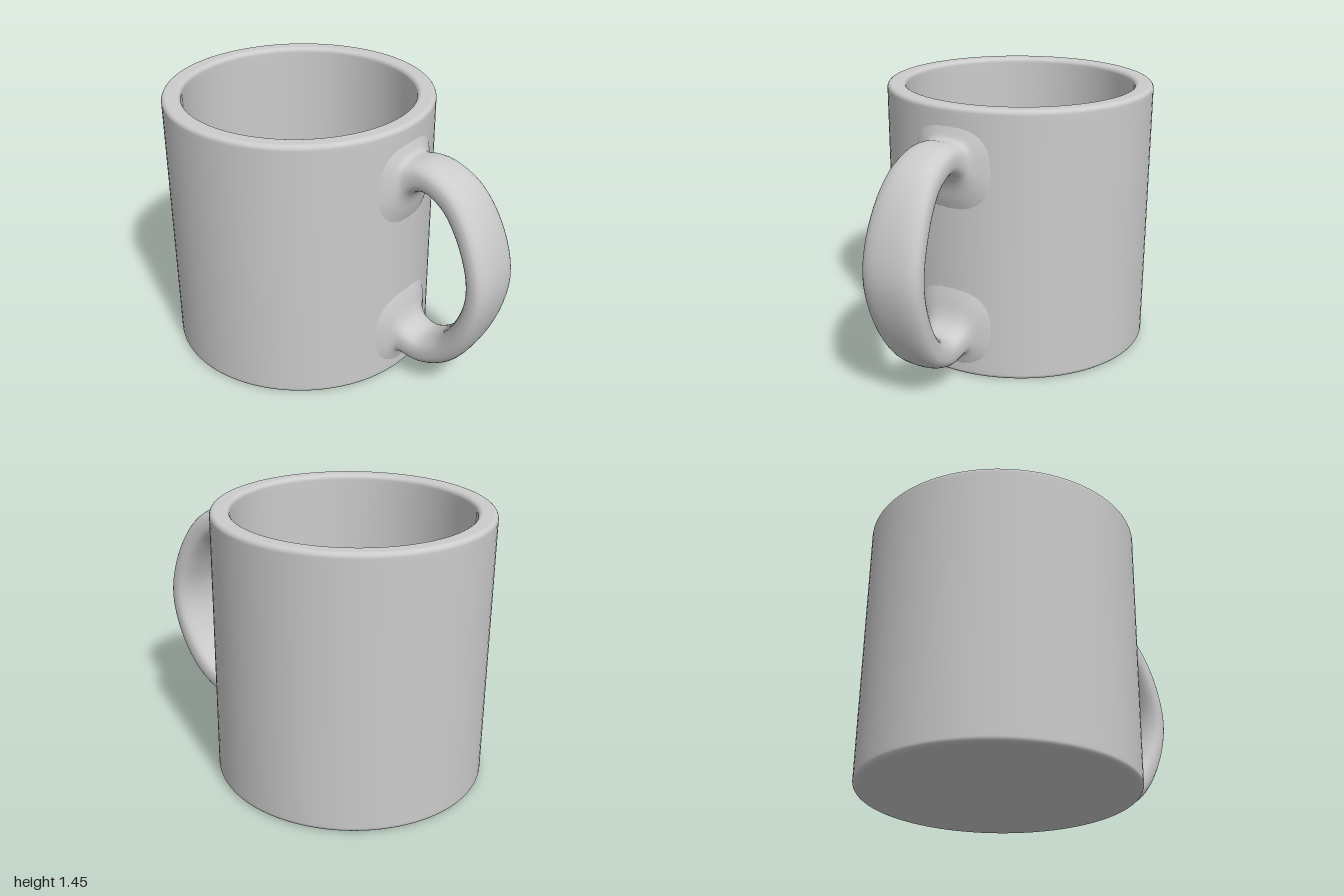
import * as THREE from 'three';

const CX = -0.28, R = 0.72, H = 1.45, MID_Y = 0.705;

// Rounded corner: quarter arc about (cx, cy) from angle a0 to a1
function arc(cx, cy, r, a0, a1, n = 6) {
  return Array.from({ length: n + 1 }, (_, i) => {
    const a = a0 + (a1 - a0) * i / n;
    return new THREE.Vector2(cx + r * Math.cos(a), cy + r * Math.sin(a));
  });
}

// Thick-walled body: base, outer wall, rounded rim, inner wall, floor
function bodyGeometry() {
  const q = Math.PI / 2;
  const profile = [
    new THREE.Vector2(0, 0),
    new THREE.Vector2(R - 0.04, 0),
    ...arc(R - 0.025, 0.025, 0.025, -q, 0),
    new THREE.Vector2(R, 0.05),
    new THREE.Vector2(R, H - 0.05),
    ...arc(R - 0.025, H - 0.025, 0.025, 0, q),
    ...arc(0.645, H - 0.025, 0.025, q, 2 * q),
    new THREE.Vector2(0.62, H - 0.05),
    new THREE.Vector2(0.62, 0.18),
    ...arc(0.56, 0.16, 0.06, 0, -q),
    new THREE.Vector2(0.53, 0.1),
    new THREE.Vector2(0, 0.1),
  ];
  return new THREE.LatheGeometry(profile, 96);
}

// Handle: rounded-rectangle sections between an outer and an inner edge line
function handleGeometry() {
  // outer x, outer y, inner x, inner y, half width; root to middle
  const upper = [
    [0.425, 1.39, 0.425, 0.88, 0.25],
    [0.445, 1.335, 0.455, 0.97, 0.2],
    [0.462, 1.295, 0.475, 1.045, 0.145],
    [0.49, 1.288, 0.505, 1.1, 0.128],
    [0.55, 1.296, 0.56, 1.13, 0.125],
    [0.63, 1.287, 0.625, 1.122, 0.13],
    [0.74, 1.24, 0.71, 1.065, 0.138],
    [0.83, 1.16, 0.78, 0.965, 0.148],
    [0.91, 1.03, 0.825, 0.87, 0.158],
    [0.97, 0.87, 0.852, 0.785, 0.164],
    [0.995, MID_Y, 0.86, MID_Y, 0.166],
  ];
  const flip = ([ox, oy, ix, iy, w]) => [ox, 2 * MID_Y - oy, ix, 2 * MID_Y - iy, w];
  const rows = [...upper, ...upper.slice(0, -1).reverse().map(flip)];
  const outer = new THREE.CatmullRomCurve3(rows.map(r => new THREE.Vector3(r[0], r[1], r[4])), false, 'catmullrom', 0.5);
  const inner = new THREE.CatmullRomCurve3(rows.map(r => new THREE.Vector3(r[2], r[3], r[4])), false, 'catmullrom', 0.5);

  const rings = (rows.length - 1) * 3, sides = 32, pos = [], index = [];
  const round = v => Math.sign(v) * Math.pow(Math.abs(v), 0.75);
  for (let i = 0; i <= rings; i++) {
    const o = outer.getPoint(i / rings), n = inner.getPoint(i / rings);
    const cx = (o.x + n.x) / 2, cy = (o.y + n.y) / 2;
    // near the roots the sections wrap round the curved wall
    const wrap = 1 - THREE.MathUtils.smoothstep(cx, 0.445, 0.53);
    for (let j = 0; j < sides; j++) {
      const a = j / sides * Math.PI * 2;
      const k = round(Math.cos(a)) / 2, z = round(Math.sin(a)) * o.z;
      const wall = CX + Math.sqrt(R * R - z * z) - (CX + R);
      pos.push(cx + (o.x - n.x) * k + wrap * wall, cy + (o.y - n.y) * k, z);
      if (i < rings) {
        const p = i * sides + j, s = i * sides + (j + 1) % sides;
        index.push(p, s, p + sides, s, s + sides, p + sides);
      }
    }
  }
  const g = new THREE.BufferGeometry();
  g.setAttribute('position', new THREE.Float32BufferAttribute(pos, 3));
  g.setIndex(index);
  g.computeVertexNormals();
  return g;
}

export function createModel() {
  const group = new THREE.Group();
  group.name = 'mug';
  const ceramic = new THREE.MeshStandardMaterial({ color: 0xcccccc });
  ceramic.name = 'light grey ceramic';

  const body = new THREE.Mesh(bodyGeometry(), ceramic);
  body.name = 'body';
  body.position.x = CX;

  const handle = new THREE.Mesh(handleGeometry(), ceramic);
  handle.name = 'handle';

  group.add(body, handle);
  return group;
}
